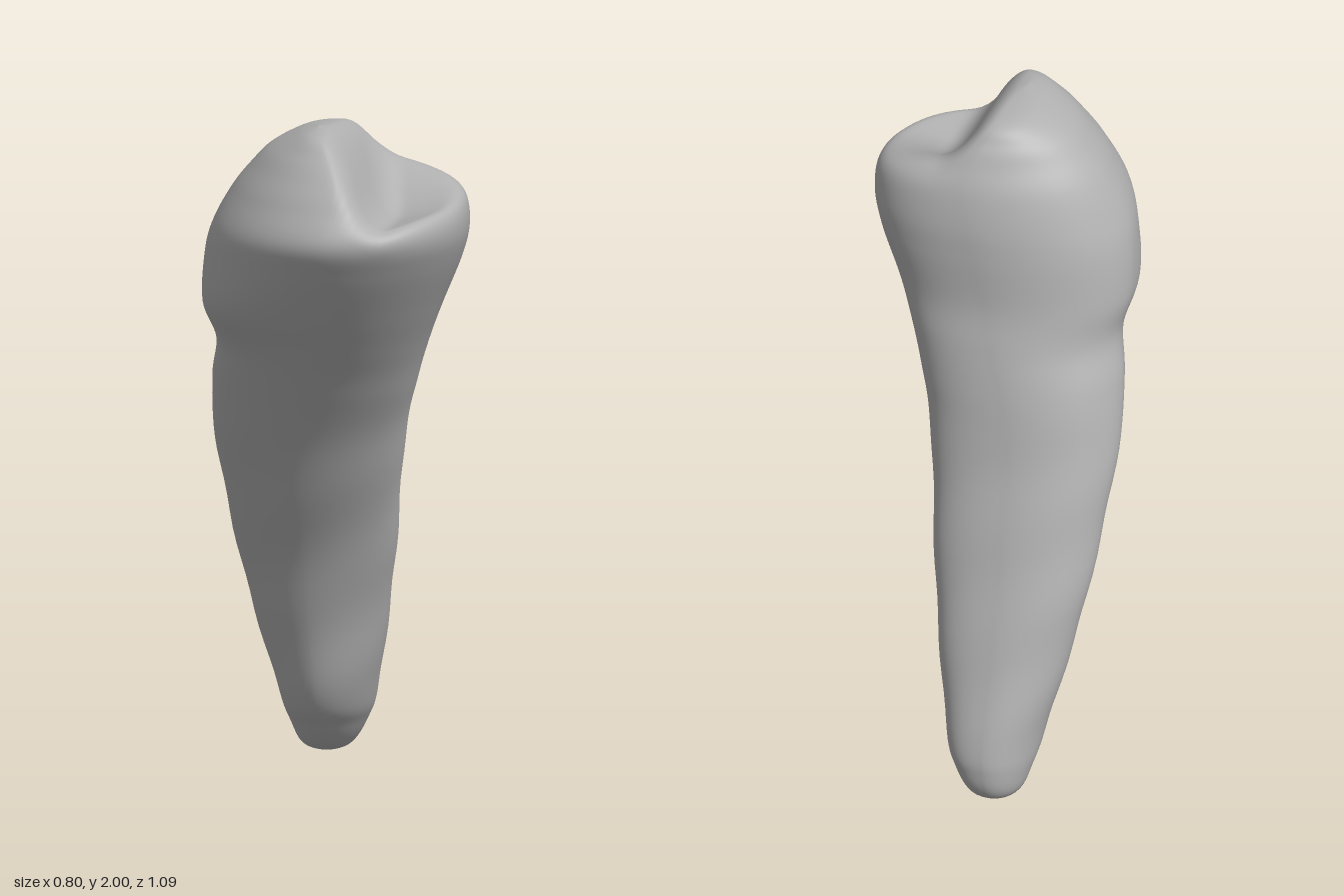
import * as THREE from 'three';

// Cross-sections from root tip to cusp: y, xMin, xMax, zMin, zMax
const SECTIONS = [
  [0.0, -0.15, -0.15, -0.45, -0.45],
  [0.025, -0.22, -0.08, -0.52, -0.36],
  [0.1, -0.25, -0.03, -0.545, -0.28],
  [0.22, -0.28, 0.015, -0.525, -0.2],
  [0.6, -0.36, 0.09, -0.4, -0.09],
  [1.0, -0.4, 0.155, -0.27, 0.1],
  [1.2, -0.39, 0.21, -0.22, 0.22],
  [1.33, -0.365, 0.255, -0.185, 0.31],
  [1.45, -0.39, 0.305, -0.155, 0.4],
  [1.6, -0.38, 0.37, -0.145, 0.5],
  [1.7, -0.35, 0.395, -0.135, 0.545],
  [1.8, -0.295, 0.38, -0.11, 0.5],
  [1.87, -0.24, 0.33, -0.075, 0.45],
  [1.93, -0.18, 0.22, -0.035, 0.395],
  [1.98, -0.09, 0.08, 0.03, 0.335],
  [2.0, -0.02, -0.02, 0.23, 0.23],
];
const SIDES = 96, STEPS = 8;

// Cubic interpolation of one column of the section table
function sample(t, column) {
  const last = SECTIONS.length - 1;
  const i = Math.min(Math.floor(t), last - 1), f = t - i;
  const p = (k) => SECTIONS[Math.max(0, Math.min(last, k))][column];
  const a = p(i - 1), b = p(i), c = p(i + 1), d = p(i + 2);
  return b + 0.5 * f * (c - a + f * (2 * a - 5 * b + 4 * c - d + f * (3 * (b - c) + d - a)));
}

function smoothMin(a, b, k) {
  const h = Math.max(k - Math.abs(a - b), 0) / k;
  return Math.min(a, b) - h * h * k * 0.25;
}

// Biting surface: steep slope of the main cusp meeting the low inner cusp in a groove
function bitingHeight(x, z) {
  const mainCusp = 2.03 - 2.0 * (x - 0.03);
  const front = THREE.MathUtils.smoothstep(z, -0.08, 0.27);
  const innerCusp = THREE.MathUtils.lerp(1.87 - 0.2 * (x - 0.17), 1.72 + 0.25 * (x - 0.15), front);
  return -smoothMin(-mainCusp, -innerCusp, 0.12);
}

// Corner fullness of a section: below 1 is squarer, above 1 is flatter than an oval
function cornerPower(y, c, s) {
  if (s < 0) return c > 0 ? 0.75 : 1.05;
  if (c > 0) return 1.06;
  const bulge = Math.exp(-(((y - 1.45) / 0.13) ** 2));
  return 1.12 - 0.25 * bulge - 0.12 * THREE.MathUtils.smoothstep(y, 1.7, 1.95);
}

function toothGeometry() {
  const positions = [], indices = [];
  const rings = (SECTIONS.length - 1) * STEPS;
  for (let i = 0; i <= rings; i++) {
    const [y, x0, x1, z0, z1] = SECTIONS[0].map((_, column) => sample(i / STEPS, column));
    // Crown sections are widest off-centre
    const crown = THREE.MathUtils.smoothstep(y, 1.1, 1.6);
    const cx = (x0 + x1) / 2 + 0.04 * crown * (x1 - x0);
    const cz = (z0 + z1) / 2 - 0.09 * crown * (z1 - z0);
    // Gentle unevenness along the root
    const wave = 0.0025 * Math.min(1, y * 4) * THREE.MathUtils.smoothstep(1.3 - y, 0, 0.4);
    for (let j = 0; j < SIDES; j++) {
      const angle = (j / SIDES) * Math.PI * 2;
      const c = Math.cos(angle), s = Math.sin(angle);
      const e = cornerPower(y, c, s);
      const u = Math.sign(c) * Math.abs(c) ** e, v = Math.sign(s) * Math.abs(s) ** e;
      const bump = wave * Math.sin(y * 21 + angle * 2);
      const x = cx + u * (u > 0 ? x1 - cx : cx - x0) + c * bump;
      const z = cz + v * (v > 0 ? z1 - cz : cz - z0) + s * bump;
      const height = y > 1.55 ? smoothMin(y, bitingHeight(x, z), 0.09) : y;
      positions.push(x, Math.max(0, height), z);
      if (i < rings) {
        const a = i * SIDES + j, b = i * SIDES + (j + 1) % SIDES;
        indices.push(a, a + SIDES, b, b, a + SIDES, b + SIDES);
      }
    }
  }
  const geometry = new THREE.BufferGeometry();
  geometry.setAttribute('position', new THREE.Float32BufferAttribute(positions, 3));
  geometry.setIndex(indices);
  geometry.computeVertexNormals();
  // Share one normal across each pole
  const normals = geometry.attributes.normal;
  for (let j = 0; j < SIDES; j++) {
    normals.setXYZ(j, 0, -1, 0);
    normals.setXYZ(rings * SIDES + j, 0, 1, 0);
  }
  return geometry;
}

export function createModel() {
  const model = new THREE.Group();
  model.name = 'premolar';
  const grey = new THREE.MeshStandardMaterial({ color: 0xb0b0b0 });
  grey.name = 'plain grey';
  const tooth = new THREE.Mesh(toothGeometry(), grey);
  tooth.name = 'crownAndRoot';
  model.add(tooth);
  return model;
}
